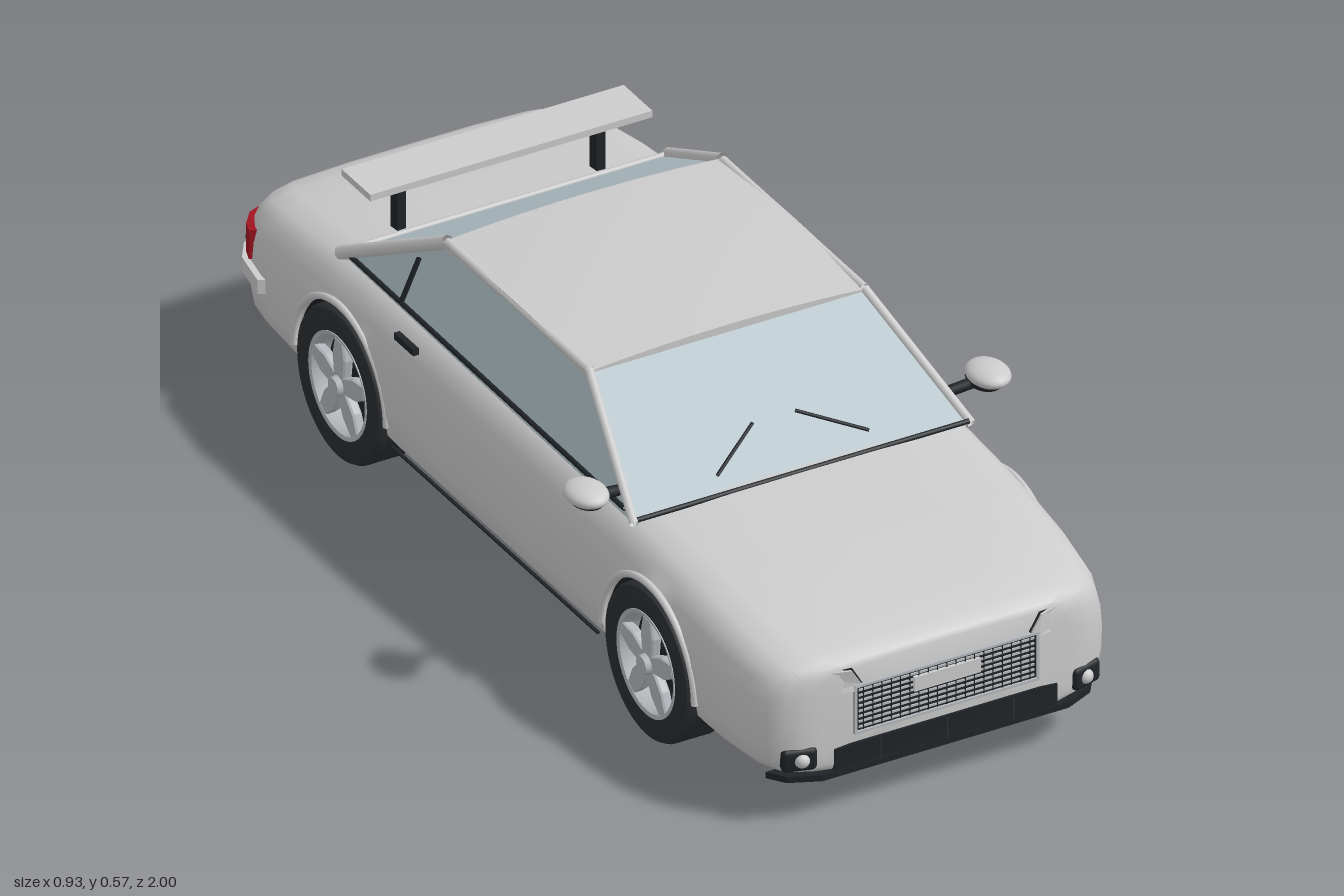
import * as THREE from 'three';
import { toCreasedNormals } from 'three/addons/utils/BufferGeometryUtils.js';
import { RoundedBoxGeometry } from 'three/addons/geometries/RoundedBoxGeometry.js';

const mat = (color) => new THREE.MeshStandardMaterial({ color, side: THREE.DoubleSide });
const V = (x, y, z) => new THREE.Vector3(x, y, z);
const WHEEL_Z = [0.57, -0.56], AXLE_Y = 0.155, ARCH_R = 0.166;

// z, half width, top, bottom of the body
const STATIONS = [
  [0.99, 0.265, 0.312, 0.105], [0.985, 0.3, 0.322, 0.1], [0.972, 0.332, 0.33, 0.096], [0.95, 0.354, 0.337, 0.093],
  [0.9, 0.372, 0.349, 0.088], [0.8, 0.383, 0.366, 0.085], [0.7, 0.387, 0.379, 0.085], [0.57, 0.389, 0.391, 0.085],
  [0.45, 0.39, 0.399, 0.086], [0.2, 0.39, 0.404, 0.086], [-0.2, 0.39, 0.406, 0.086], [-0.5, 0.39, 0.405, 0.086],
  [-0.63, 0.389, 0.398, 0.086], [-0.75, 0.386, 0.384, 0.086], [-0.86, 0.378, 0.367, 0.088], [-0.92, 0.367, 0.356, 0.09],
  [-0.955, 0.35, 0.346, 0.094], [-0.975, 0.326, 0.336, 0.1], [-0.985, 0.29, 0.32, 0.108],
];
// fraction of half width, fraction of height
const SECTION = [[0, 0], [0.5, 0], [0.8, 0.015], [0.92, 0.06], [0.975, 0.15], [0.995, 0.3], [1, 0.5], [0.99, 0.67],
  [0.97, 0.79], [0.935, 0.88], [0.87, 0.945], [0.75, 0.98], [0.4, 0.998], [0, 1]];

function stationAt(z) {
  let i = 0;
  while (i < STATIONS.length - 2 && z < STATIONS[i + 1][0]) i++;
  const a = STATIONS[i], b = STATIONS[i + 1], t = (a[0] - z) / (a[0] - b[0]);
  return a.map((v, k) => v + (b[k] - v) * t);
}

// Lofted shell whose underside is lifted over the wheels
function bodyGeometry() {
  const zs = STATIONS.map((s) => s[0]);
  for (const c of WHEEL_Z) {
    for (let i = 0; i <= 28; i++) zs.push(c + ARCH_R * Math.cos((Math.PI * i) / 28) * 0.9999);
    zs.push(c + ARCH_R + 0.0005, c - ARCH_R - 0.0005);
  }
  zs.sort((a, b) => b - a);
  const ring = [...SECTION, ...SECTION.slice(1, -1).reverse().map(([u, v]) => [-u, v])];
  const n = ring.length, pos = [], idx = [];
  for (const z of zs) {
    const [, w, top, bottom] = stationAt(z);
    let arch = 0;
    for (const c of WHEEL_Z) {
      const d = Math.abs(z - c);
      if (d < ARCH_R) arch = AXLE_Y + Math.sqrt(ARCH_R ** 2 - d * d);
    }
    for (const [u, v] of ring) pos.push(u * w, Math.max(bottom + v * (top - bottom), arch), z);
  }
  for (let i = 0; i < zs.length - 1; i++) for (let j = 0; j < n; j++) {
    const a = i * n + j, b = i * n + (j + 1) % n, d = a + n, c = b + n;
    idx.push(a, d, c, a, c, b);
  }
  const last = (zs.length - 1) * n, m = zs.length * n;
  pos.push(0, 0.2, zs[0], 0, 0.2, zs[zs.length - 1]);
  for (let j = 0; j < n; j++) {
    const k = (j + 1) % n;
    idx.push(m, j, k, m + 1, last + k, last + j);
  }
  const g = new THREE.BufferGeometry();
  g.setAttribute('position', new THREE.Float32BufferAttribute(pos, 3));
  g.setIndex(idx);
  return toCreasedNormals(g, 0.65);
}

export function createModel() {
  const car = new THREE.Group();
  const paint = mat(0xcccccc), glass = mat(0xb3c3c9), dark = mat(0x202428), rubber = mat(0x2a2d30);
  const red = mat(0xa01520), lamp = mat(0xe4e6e4), metal = mat(0xb4b8bc);

  const add = (name, geo, m, x = 0, y = 0, z = 0, parent = car) => {
    const mesh = new THREE.Mesh(geo, m);
    mesh.name = name;
    mesh.position.set(x, y, z);
    parent.add(mesh);
    return mesh;
  };
  const box = (name, w, h, d, m, x, y, z, parent) => add(name, new THREE.BoxGeometry(w, h, d), m, x, y, z, parent);
  const bar = (name, a, b, r, m) => add(name, new THREE.TubeGeometry(new THREE.LineCurve3(a, b), 1, r, 8), m);
  const panel = (name, pts, m) => {
    const g = new THREE.BufferGeometry().setFromPoints(pts);
    g.setIndex([0, 1, 2, 0, 2, 3]);
    g.computeVertexNormals();
    return add(name, g, m);
  };
  const outline = (pts, s) => new THREE.Shape(pts.map(([x, y]) => new THREE.Vector2(x * s, y)));
  // Slab drawn in plan (x, z), thickness going down from y
  const planSlab = (name, pts, s, y, h, m) => {
    const g = new THREE.ExtrudeGeometry(outline(pts, s), { depth: h, bevelEnabled: false });
    return add(name, g.rotateX(Math.PI / 2), m, 0, y, 0);
  };
  // Slab drawn from the front (x, y), swept back towards the corners
  const frontSlab = (name, pts, s, z, m) => {
    const g = new THREE.ExtrudeGeometry(outline(pts, s), { depth: 0.06, bevelEnabled: false });
    const p = g.attributes.position;
    for (let i = 0; i < p.count; i++) p.setZ(i, p.getZ(i) - 2.5 * Math.max(0, Math.abs(p.getX(i)) - 0.2) ** 2);
    g.computeVertexNormals();
    return add(name, g, m, 0, 0, z - 0.06);
  };

  add('body', bodyGeometry(), paint);

  // Roof with a slight crown
  const roof = new THREE.BoxGeometry(0.59, 0.016, 0.53, 12, 1, 10), rp = roof.attributes.position;
  for (let i = 0; i < rp.count; i++) {
    const x = rp.getX(i) / 0.295, z = rp.getZ(i) / 0.265;
    rp.setY(i, rp.getY(i) - 0.012 * x * x - 0.008 * z * z);
  }
  add('roof', toCreasedNormals(roof, 0.6), paint, 0, 0.566, -0.07);

  // Glass panes and pillars
  const fb = (s) => V(s * 0.356, 0.39, 0.468), ft = (s) => V(s * 0.29, 0.553, 0.19);
  const rb = (s) => V(s * 0.346, 0.393, -0.625), rt = (s) => V(s * 0.29, 0.553, -0.33);
  panel('windshield', [fb(-1), fb(1), ft(1), ft(-1)], glass);
  panel('rearWindow', [rb(1), rb(-1), rt(-1), rt(1)], glass);
  bar('cowl', V(-0.35, 0.397, 0.468), V(0.35, 0.397, 0.468), 0.005, dark);
  bar('rearWindowSeal', V(-0.34, 0.398, -0.62), V(0.34, 0.398, -0.62), 0.006, paint);
  for (const s of [1, -1]) {
    panel('sideWindow', s > 0 ? [fb(s), rb(s), rt(s), ft(s)] : [rb(s), fb(s), ft(s), rt(s)], glass);
    bar('frontPillar', fb(s), ft(s), 0.009, paint);
    bar('rearPillar', rb(s), rt(s), 0.014, paint);
    bar('roofRail', ft(s), rt(s), 0.009, paint);
    bar('beltTrim', V(s * 0.354, 0.403, 0.43), V(s * 0.345, 0.403, -0.6), 0.005, dark);
    bar('windowDivider', V(s * 0.349, 0.403, -0.4), V(s * 0.316, 0.495, -0.39), 0.005, dark);
    bar('wiper', V(s * 0.16, 0.417, 0.433), V(s * 0.045, 0.456, 0.361), 0.0035, dark);

    // Side details
    box('doorHandle', 0.012, 0.014, 0.07, dark, s * 0.38, 0.366, -0.325);
    box('sillLine', 0.006, 0.004, 0.76, dark, s * 0.383, 0.122, 0.005);
    const mirror = add('mirror', new THREE.SphereGeometry(1, 24, 16), paint, s * 0.424, 0.447, 0.41);
    mirror.scale.set(0.04, 0.02, 0.052);
    const back = add('mirrorBase', new THREE.SphereGeometry(1, 20, 12), dark, s * 0.42, 0.436, 0.405);
    back.scale.set(0.034, 0.019, 0.044);
    bar('mirrorArm', V(s * 0.34, 0.418, 0.39), V(s * 0.41, 0.434, 0.405), 0.011, dark);

    // Front lamps
    const head = [[0.327, 0.291], [0.3, 0.31], [0.2, 0.307], [0.18, 0.275], [0.195, 0.262], [0.3, 0.26]];
    frontSlab('headlight', head, s, 0.997, lamp);
    frontSlab('headlightSurround', head.map(([x, y]) => [0.254 + (x - 0.254) * 1.05, 0.285 + (y - 0.285) * 1.12]), s, 0.993, dark);
    const fog = add('fogLampHousing', new RoundedBoxGeometry(0.068, 0.048, 0.06, 2, 0.01), dark, s * 0.296, 0.14, 0.959);
    fog.rotation.y = s * 0.3;
    add('fogLamp', new THREE.SphereGeometry(0.015, 16, 12), lamp, s * 0.299, 0.14, 0.985);

    // Rear lamps and bumper corners
    planSlab('tailLight', [[0.17, -0.991], [0.29, -0.99], [0.34, -0.97], [0.364, -0.94], [0.373, -0.915], [0.3, -0.88], [0.17, -0.9]], s, 0.296, 0.062, red);
    planSlab('tailLightDivider', [[0.17, -0.993], [0.291, -0.992], [0.342, -0.971], [0.366, -0.94], [0.3, -0.9], [0.17, -0.9]], s, 0.268, 0.004, dark);
    planSlab('rearBumper', [[0.17, -1], [0.295, -0.998], [0.347, -0.978], [0.376, -0.935], [0.392, -0.85], [0.37, -0.84], [0.3, -0.9], [0.17, -0.9]], s, 0.229, 0.03, paint);
    const pipe = add('exhaustPipe', new THREE.CylinderGeometry(0.014, 0.014, 0.05, 16), dark, s * 0.24, 0.135, -0.973);
    pipe.rotation.x = Math.PI / 2;

    // Spoiler posts
    box('spoilerPost', 0.018, 0.12, 0.026, dark, s * 0.21, 0.445, -0.65);
  }
  box('spoilerBlade', 0.595, 0.014, 0.105, paint, 0, 0.507, -0.653);

  // Grille, plate, lower intake and lip
  box('grille', 0.38, 0.098, 0.03, dark, 0, 0.221, 0.978);
  for (let i = 0; i < 8; i++) box('grilleSlat', 0.37, 0.004, 0.008, metal, 0, 0.182 + i * 0.0112, 0.992);
  for (let i = -9; i <= 9; i++) box('grilleRib', 0.002, 0.09, 0.006, dark, i * 0.0195, 0.221, 0.9935);
  for (const y of [0.172, 0.27]) box('grilleFrame', 0.388, 0.005, 0.02, metal, 0, y, 0.988);
  for (const x of [-0.192, 0.192]) box('grilleFrame', 0.005, 0.1, 0.02, metal, x, 0.221, 0.988);
  box('frontPlate', 0.14, 0.03, 0.01, lamp, 0, 0.24, 0.995);
  frontSlab('lowerIntake', [[-0.235, 0.102], [0.235, 0.102], [0.235, 0.147], [0.2, 0.15], [-0.2, 0.15], [-0.235, 0.147]], 1, 0.996, dark);
  for (const x of [-0.14, 0, 0.14]) box('intakeRib', 0.004, 0.044, 0.004, rubber, x, 0.125, 0.997);
  planSlab('frontLip', [[-0.345, 0.93], [-0.32, 0.965], [-0.26, 0.992], [0.26, 0.992], [0.32, 0.965], [0.345, 0.93]], 1, 0.1, 0.013, dark);
  box('rearPanel', 0.34, 0.052, 0.03, dark, 0, 0.222, -0.977);
  box('rearPlate', 0.14, 0.032, 0.008, lamp, 0, 0.256, -0.989);

  // Wheels
  const tyreProfile = [[0.1, -0.045], [0.135, -0.052], [0.15, -0.046], [0.155, -0.036], [0.155, -0.018], [0.149, -0.016], [0.149, -0.01],
    [0.155, -0.008], [0.155, 0.008], [0.149, 0.01], [0.149, 0.016], [0.155, 0.018], [0.155, 0.036], [0.15, 0.046], [0.135, 0.052], [0.1, 0.045]];
  const lathe = (pts) => toCreasedNormals(new THREE.LatheGeometry(pts.map(([r, y]) => new THREE.Vector2(r, y)), 48).rotateZ(-Math.PI / 2), 0.6);
  const tyre = lathe(tyreProfile);
  const rim = lathe([[0.092, -0.04], [0.092, 0.03], [0.098, 0.046], [0.106, 0.048], [0.106, 0.04]]);
  const spokeShape = outline([[-0.014, 0.015], [-0.02, 0.06], [-0.012, 0.096], [0.012, 0.096], [0.02, 0.06], [0.014, 0.015]], 1);
  const spoke = new THREE.ExtrudeGeometry(spokeShape, { depth: 0.012, bevelSize: 0.002, bevelThickness: 0.004, bevelSegments: 1 }).rotateY(Math.PI / 2);
  for (const z of WHEEL_Z) {
    // Dark liner of the wheel housing, and axle
    const liner = new THREE.CylinderGeometry(ARCH_R - 0.002, ARCH_R - 0.002, 0.75, 40, 1, true, -0.4, Math.PI + 0.8).rotateZ(Math.PI / 2);
    add('wheelHousing', liner, dark, 0, AXLE_Y, z);
    add('axle', new THREE.CylinderGeometry(0.018, 0.018, 0.66, 12).rotateZ(Math.PI / 2), dark, 0, AXLE_Y, z);
    for (const s of [1, -1]) {
      const wheel = new THREE.Group();
      wheel.name = 'wheel';
      wheel.position.set(s * 0.343, AXLE_Y, z);
      wheel.rotation.y = s > 0 ? 0 : Math.PI;
      car.add(wheel);
      add('tyre', tyre, rubber, 0, 0, 0, wheel);
      add('rim', rim, metal, 0, 0, 0, wheel);
      add('brakeDisc', new THREE.CylinderGeometry(0.094, 0.094, 0.02, 32).rotateZ(Math.PI / 2), dark, 0.0, 0, 0, wheel);
      add('hub', new THREE.CylinderGeometry(0.018, 0.026, 0.03, 20).rotateZ(-Math.PI / 2), metal, 0.042, 0, 0, wheel);
      for (let i = 0; i < 5; i++) add('spoke', spoke, metal, 0.03, 0, 0, wheel).rotation.x = (i * Math.PI * 2) / 5;
      const lip = add('archLip', new THREE.TorusGeometry(ARCH_R + 0.004, 0.007, 8, 40, Math.PI), paint, s * 0.385, AXLE_Y, z);
      lip.rotation.y = Math.PI / 2;
    }
  }
  return car;
}
